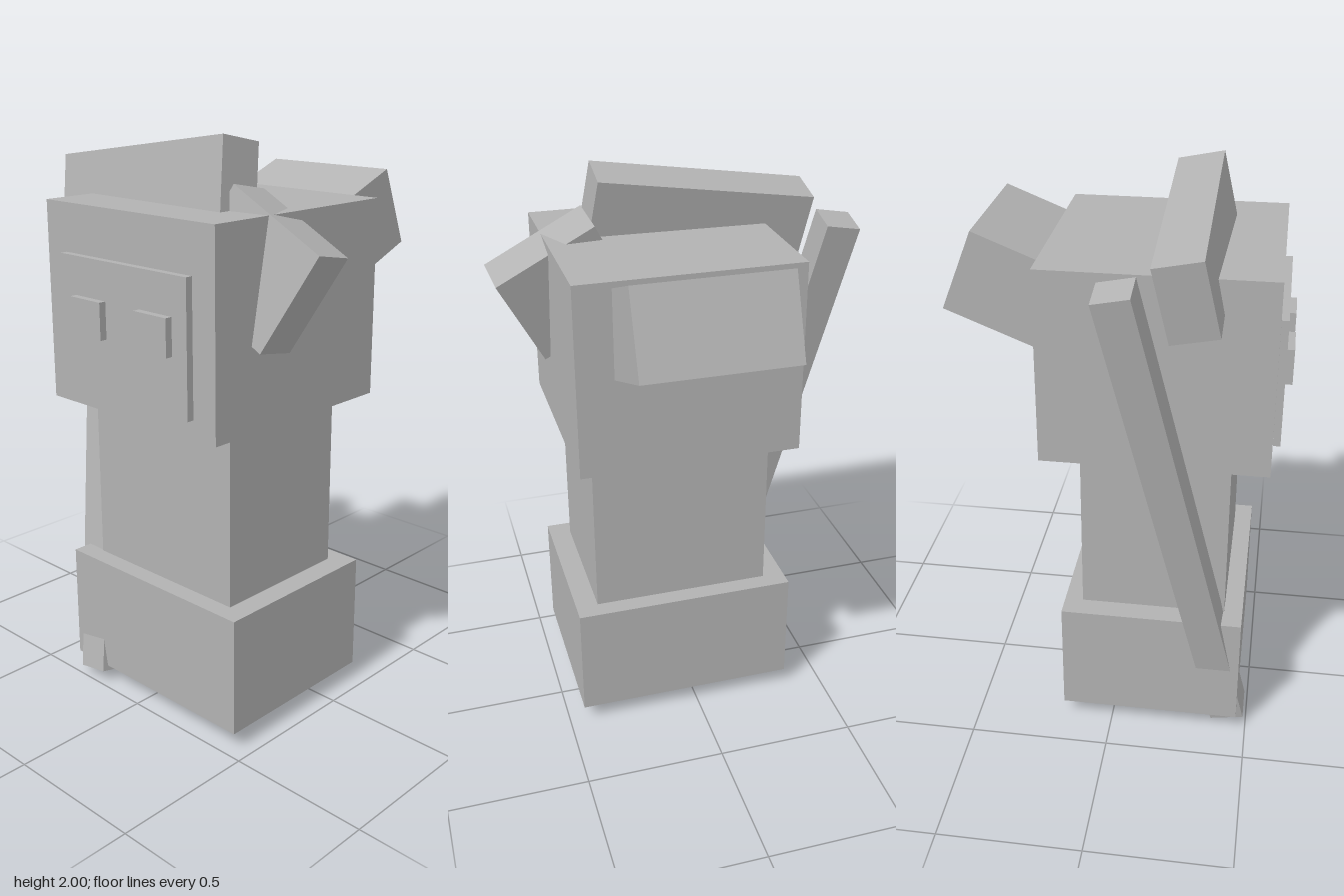
import * as THREE from 'three';

export function createModel() {
  const model = new THREE.Group();
  const grey = new THREE.MeshStandardMaterial({ color: 0xb2b2b2 });
  grey.name = 'plain grey';

  // Box by size and centre, with optional lean (about x) and roll (about z) in degrees
  function block(name, size, centre, lean = 0, roll = 0) {
    const mesh = new THREE.Mesh(new THREE.BoxGeometry(...size), grey);
    mesh.name = name;
    mesh.position.set(...centre);
    mesh.rotation.set(THREE.MathUtils.degToRad(lean), 0, THREE.MathUtils.degToRad(roll), 'ZYX');
    model.add(mesh);
    return mesh;
  }

  // Body
  block('base', [0.805, 0.42, 0.645], [0.042, 0.27, 0.142]);
  block('torso', [0.645, 0.617, 0.515], [0.042, 0.787, 0.142]);
  block('head', [0.775, 0.678, 0.775], [0.042, 1.434, 0.142]);
  block('backBlock', [0.519, 0.289, 0.48], [0.043, 1.617, -0.2975], 21.8);

  // Face
  block('facePlate', [0.585, 0.45, 0.025], [0.042, 1.385, 0.5425]);
  for (const [name, side] of [['rightEye', -1], ['leftEye', 1]]) {
    block(name, [0.145, 0.125, 0.025], [0.045 + side * 0.1525, 1.4175, 0.5675]);
  }

  // Scythe: leaning pole with a two-piece blade
  block('pole', [0.122, 1.85, 0.122], [-0.41, 0.915, 0.2375], -12, 9.9);
  block('bladeBar', [0.774, 0.262, 0.16], [-0.116, 1.804, 0.252], -11.9, 8.3);
  block('bladeTip', [0.388, 0.36, 0.16], [0.366, 1.594, 0.255], -11.9, -27.6);

  return model;
}
